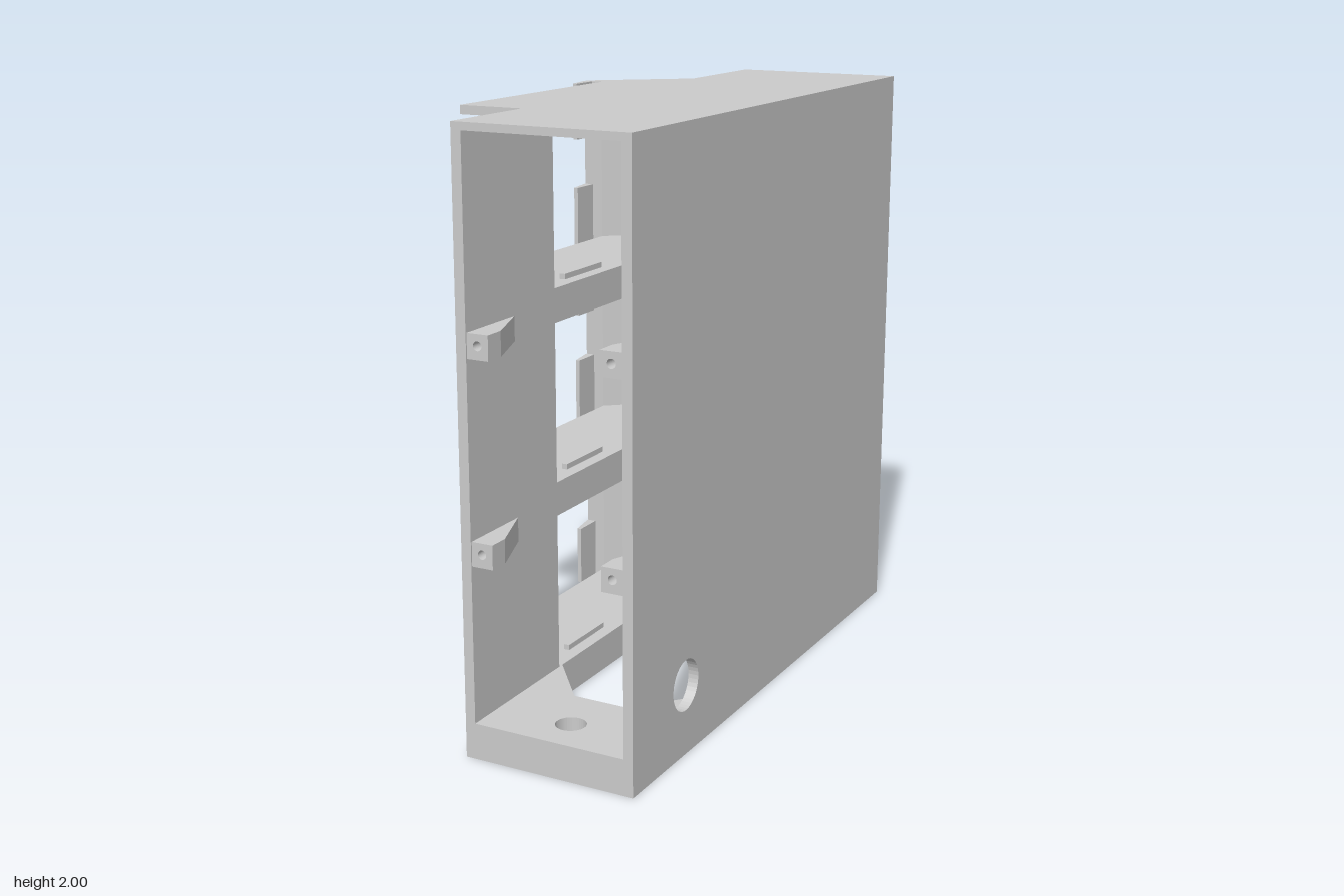
import * as THREE from 'three';

const mat = new THREE.MeshStandardMaterial({ color: 0xcccccc, flatShading: true, side: THREE.DoubleSide });
const X0 = -0.11, X1 = 0.49, W = 0.035, IN0 = X0 + W, IN1 = X1 - W, MID = 0.19;

function circle(x, y, r) {
  return new THREE.Path().absarc(x, y, r, 0, Math.PI * 2, true);
}

function toShape(points, holes = []) {
  const s = new THREE.Shape(points.map(([a, b]) => new THREE.Vector2(a, b)));
  s.holes.push(...holes);
  return s;
}

function extrude(shape, depth) {
  return new THREE.ExtrudeGeometry(shape, { depth, bevelEnabled: false, curveSegments: 20 });
}

// Horizontal slab: outline in (x, z), holes as [x, z, r]
function slab(points, y0, y1, holes = []) {
  const shape = toShape(points.map(([x, z]) => [x, -z]), holes.map(([x, z, r]) => circle(x, -z, r)));
  return extrude(shape, y1 - y0).rotateX(-Math.PI / 2).translate(0, y0, 0);
}

// Upright wall: outline in (z, y), from xMax - W to xMax
function wall(points, xMax, holes) {
  return extrude(toShape(points, holes), W).rotateY(-Math.PI / 2).translate(xMax, 0, 0);
}

function box(x0, x1, y0, y1, z0, z1) {
  return new THREE.BoxGeometry(x1 - x0, y1 - y0, z1 - z0)
    .translate((x0 + x1) / 2, (y0 + y1) / 2, (z0 + z1) / 2);
}

// End slab with a chamfered notch; side is +1 for the front end, -1 for the back
const notched = (side) => [
  [IN0, 0.99], [IN1, 0.99], [IN1, 0.46], [0.29, 0.66], [0.09, 0.66], [IN0, 0.46],
].map(([x, z]) => [x, z * side]);

// Swell the middle of the notched edge upward and downward
function swell(geo, yMid, up, down) {
  const p = geo.attributes.position;
  for (let i = 0; i < p.count; i++) {
    const x = p.getX(i);
    if (Math.abs(Math.abs(p.getZ(i)) - 0.66) < 0.001 && Math.abs(x - MID) < 0.11) {
      p.setY(i, p.getY(i) + (p.getY(i) > yMid ? up : -down));
    }
  }
  geo.computeVertexNormals();
  return geo;
}

export function createModel() {
  const group = new THREE.Group();
  const add = (name, geo) => {
    const m = new THREE.Mesh(geo, mat);
    m.name = name;
    group.add(m);
    return m;
  };

  // Outer case
  const side = [[-0.99, 0], [0.99, 0], [0.99, 2], [-0.99, 2]];
  add('rightWall', wall(side, X1, [circle(0.645, 0.235, 0.085)]));
  const opening = new THREE.Path([[-0.75, 0.12], [-0.75, 1.95], [0.48, 1.95], [0.48, 0.12]]
    .map(([a, b]) => new THREE.Vector2(a, b)));
  add('leftWall', wall(side, IN0, [opening]));
  add('roof', box(IN0, IN1, 1.975, 2, -0.99, 0.99));

  // Floor ends with countersunk screw holes
  for (const s of [1, -1]) {
    add('floorBase', slab(notched(s), 0, 0.03, [[MID, 0.85 * s, 0.02]]));
    const top = slab(notched(s), 0.03, 0.12, [[MID, 0.85 * s, 0.05]]);
    add('floorTop', s < 0 ? swell(top, 0.08, 0.025, 0) : top);
  }

  // Dividers at the back and lining under the roof
  for (const y of [0.645, 1.295]) {
    add('backDivider', swell(slab(notched(-1), y, y + 0.125), y + 0.06, 0.025, 0.015));
  }
  add('roofLining', swell(slab(notched(-1), 1.945, 1.975), 1.96, 0, 0.01));

  // Wedge-backed screw bosses inside the front opening
  for (const y of [0.64, 1.295]) {
    for (const s of [1, -1]) {
      const at = (d) => (s > 0 ? IN0 + d : IN1 - d);
      const hole = circle(at(0.037), y + 0.043, 0.015);
      const face = toShape([[at(0), y], [at(0.075), y], [at(0.075), y + 0.08], [at(0), y + 0.08]], [hole]);
      add('screwBoss', extrude(face, 0.07).translate(0, 0, 0.915));
      add('bossWedge', slab([[at(0), 0.915], [at(0.075), 0.915], [at(0), 0.72]], y, y + 0.08));
    }
  }

  // Side shelves that stick out through the left wall
  const plan = [[IN0, 0.48], [-0.42, 0.48], [-0.42, -0.43], [-0.47, -0.45], [X0, -0.755], [IN0, -0.755]];
  const shelves = [[0.09, 0.12], [0.655, 0.77], [1.305, 1.42], [1.955, 1.985]];
  shelves.forEach(([y0, y1], i) => {
    add('sideShelf', slab(plan, y0, y1));
    if (i < 3) add('shelfRib', box(-0.14, -0.12, y1, y1 + 0.018, 0.1, 0.34));
    if (i > 0) {
      add('shelfLedge', slab([[-0.42, -0.43], [-0.47, -0.45], [X0, -0.755], [X0, -0.69]], y0 - 0.02, y0));
    }
    // Pin hole shown on the outer end of the thick shelves
    if (y1 - y0 > 0.1) {
      add('pinHole', new THREE.RingGeometry(0.01, 0.016, 16)
        .rotateY(-Math.PI / 2).translate(-0.421, (y0 + y1) / 2, 0.44));
    }
  });

  // Slanted deflector panel with a lip along its outer edge
  add('slantedPanel', slab([
    [X0, -0.77], [-0.49, -0.455], [-0.49, -0.43], [-0.42, -0.43], [X0, -0.70],
    [IN0, -0.72], [IN0, -0.77],
  ], 0.09, 1.985));

  // Snap clips on the panel edge
  const clip = [[-0.49, -0.45], [-0.458, -0.43], [-0.458, -0.32], [-0.473, -0.32], [-0.49, -0.42]];
  for (const [y0, y1] of [[0.09, 0.305], [0.485, 0.69], [0.74, 0.965],
    [1.135, 1.34], [1.385, 1.61], [1.785, 1.985]]) {
    add('snapClip', slab(clip, y0, y1));
  }
  return group;
}
